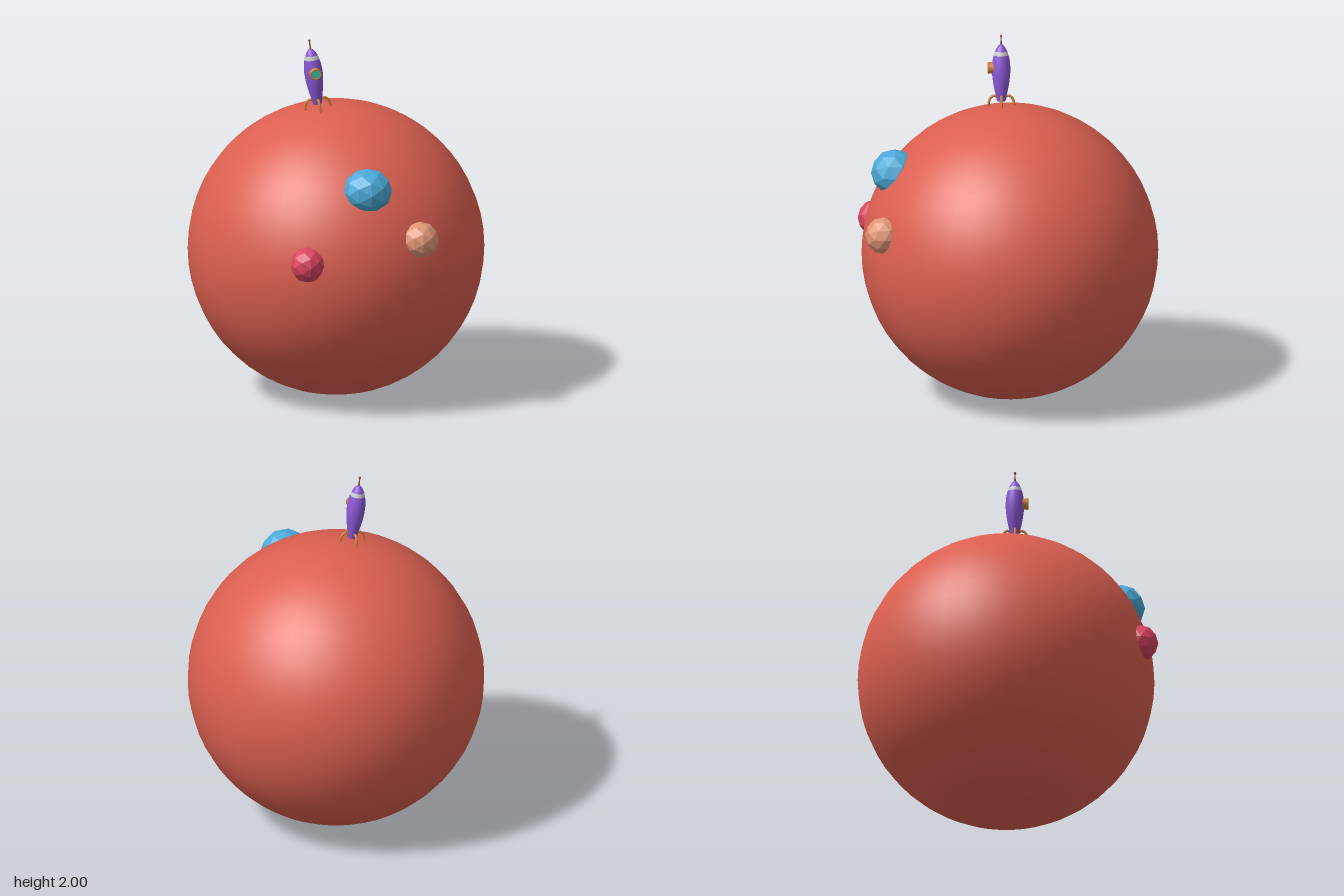
import * as THREE from 'three';

const paint = (color, flatShading = false) => {
  const m = new THREE.MeshStandardMaterial({ color });
  m.flatShading = flatShading;
  return m;
};

function addPart(parent, name, geometry, material, x = 0, y = 0, z = 0) {
  const mesh = new THREE.Mesh(geometry, material);
  mesh.name = name;
  mesh.position.set(x, y, z);
  parent.add(mesh);
  return mesh;
}

function lathe(points, segments = 24) {
  return new THREE.LatheGeometry(points.map(p => new THREE.Vector2(...p)), segments);
}

// Rocket standing on its own y axis, base at y = 0
function createRocket() {
  const rocket = new THREE.Group();
  rocket.name = 'rocket';
  const purple = paint(0x8c58d6);
  const orange = paint(0xcf8238);
  const rust = paint(0x9c5148);

  addPart(rocket, 'body', lathe([[0, 0], [0.024, 0], [0.024, 0.001], [0.034, 0.05], [0.043, 0.095],
    [0.049, 0.14], [0.051, 0.18], [0.048, 0.22], [0.041, 0.255]]), purple);
  addPart(rocket, 'noseBand', lathe([[0.0425, 0.243], [0.043, 0.244], [0.035, 0.275], [0.033, 0.276]]), paint(0xbdbdbd));
  addPart(rocket, 'noseCone', lathe([[0.034, 0.274], [0.026, 0.292], [0.016, 0.306], [0.008, 0.314], [0, 0.316]]), purple);

  // Antenna
  addPart(rocket, 'antenna', new THREE.CylinderGeometry(0.003, 0.005, 0.05, 10), rust, 0, 0.335, 0);
  addPart(rocket, 'antennaTip', new THREE.SphereGeometry(0.007, 12, 8), rust, 0, 0.361, 0);

  // Porthole facing forward
  const frame = addPart(rocket, 'portholeFrame', new THREE.CylinderGeometry(0.031, 0.031, 0.04, 24), orange, 0, 0.185, 0.05);
  frame.rotation.x = Math.PI / 2;
  addPart(rocket, 'portholeRim', new THREE.TorusGeometry(0.027, 0.006, 8, 24), orange, 0, 0.185, 0.068);
  const glass = addPart(rocket, 'portholeGlass', new THREE.CylinderGeometry(0.023, 0.023, 0.006, 24), paint(0x35c4a4), 0, 0.185, 0.07);
  glass.rotation.x = Math.PI / 2;

  // Four arched legs
  const arch = new THREE.CatmullRomCurve3([[0.018, 0.018], [0.038, 0.03], [0.056, 0.021], [0.067, 0], [0.07, -0.026]]
    .map(([x, y]) => new THREE.Vector3(x, y, 0)));
  const legGeometry = new THREE.TubeGeometry(arch, 12, 0.007, 8);
  for (let i = 0; i < 4; i++) {
    const leg = new THREE.Group();
    leg.name = 'leg';
    leg.rotation.y = i * Math.PI / 2;
    addPart(leg, 'legArch', legGeometry, orange);
    addPart(leg, 'foot', new THREE.SphereGeometry(0.007, 8, 6), orange, 0.07, -0.026, 0);
    rocket.add(leg);
  }
  return rocket;
}

export function createModel() {
  const model = new THREE.Group();
  model.name = 'planetWithRocket';

  // Planet
  const planet = new THREE.SphereGeometry(0.811, 40, 28);
  addPart(model, 'planet', planet, paint(0xdb5f50), 0, 0.811, -0.006);

  // Faceted boulders half sunk into the surface
  const boulders = [
    ['blueBoulder', 0x4ba9d8, [0.05, 1.285, 0.625], [0.137, 0.126, 0.13]],
    ['tanBoulder', 0xdf9676, [0.33, 1.012, 0.693], [0.103, 0.103, 0.102]],
    ['redBoulder', 0xd8445f, [-0.302, 0.912, 0.72], [0.095, 0.1, 0.097]]
  ];
  for (const [name, color, position, radii] of boulders) {
    const boulder = addPart(model, name, new THREE.IcosahedronGeometry(1, 1), paint(color, true), ...position);
    boulder.scale.set(...radii);
  }

  // Rocket leaning with the curve of the surface
  const rocket = createRocket();
  rocket.position.set(-0.112, 1.636, 0.038);
  rocket.rotation.z = 0.125;
  model.add(rocket);
  return model;
}
